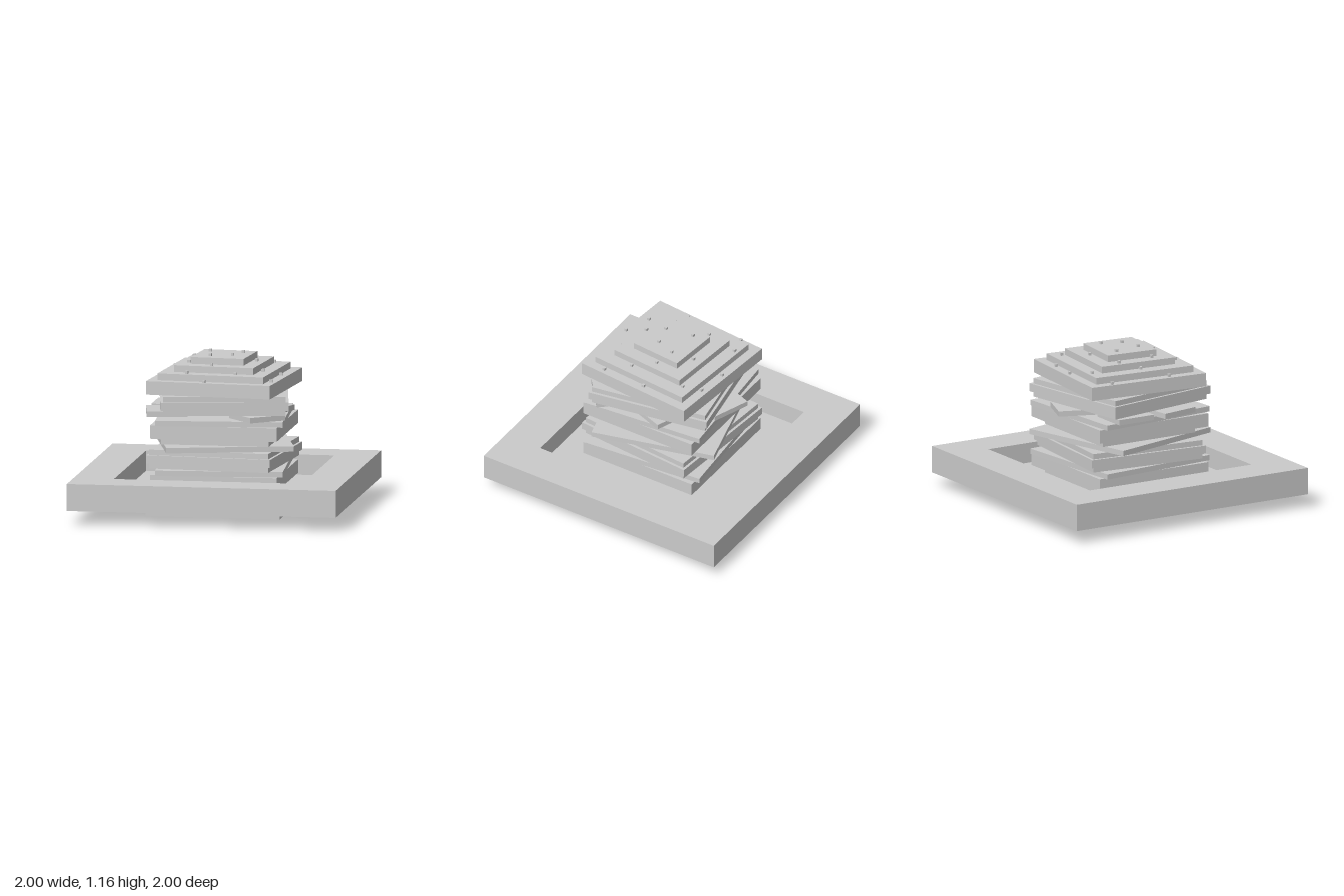
import * as THREE from 'three';

const mat = new THREE.MeshStandardMaterial({ color: 0xcccccc, flatShading: true });
const rad = THREE.MathUtils.degToRad;

// square slab of a given half width between two heights, turned about y
function slab(name, half, y0, y1, deg = 0, x = 0, z = 0) {
  const m = new THREE.Mesh(new THREE.BoxGeometry(half * 2, y1 - y0, half * 2), mat);
  m.name = name;
  m.position.set(x, (y0 + y1) / 2, z);
  m.rotation.y = rad(deg);
  return m;
}

function square(path, h) {
  path.moveTo(-h, -h);
  path.lineTo(h, -h);
  path.lineTo(h, h);
  path.lineTo(-h, h);
  path.closePath();
  return path;
}

// square ring between two heights
function ring(name, outer, inner, y0, y1) {
  const shape = square(new THREE.Shape(), outer);
  shape.holes.push(square(new THREE.Path(), inner));
  const geo = new THREE.ExtrudeGeometry(shape, { depth: y1 - y0, bevelEnabled: false });
  geo.rotateX(-Math.PI / 2);
  const m = new THREE.Mesh(geo, mat);
  m.name = name;
  m.position.y = y0;
  return m;
}

function group(name, ...parts) {
  const g = new THREE.Group();
  g.name = name;
  g.add(...parts);
  return g;
}

// bun half: narrow base under a wider slab
const bun = (name, y) => group(name,
  slab('bunBase', 0.4, y, y + 0.05),
  slab('bunBody', 0.47, y + 0.05, y + 0.15));

// patty: wider middle between two narrower faces
const patty = (name, y, deg) => group(name,
  slab('pattyBottom', 0.45, y, y + 0.04, deg),
  slab('pattyMiddle', 0.47, y + 0.04, y + 0.1, deg),
  slab('pattyTop', 0.45, y + 0.1, y + 0.14, deg));

export function createModel() {
  const model = new THREE.Group();
  model.name = 'burgerOnPlate';

  // plate with a square well, on a hollow foot
  model.add(group('plate',
    ring('foot', 0.5, 0.4, 0, 0.1),
    slab('footInside', 0.4, 0.05, 0.1),
    slab('plateBase', 1, 0.1, 0.15),
    ring('plateRim', 1, 0.7, 0.15, 0.3)));

  // lower and middle fillings
  model.add(
    bun('bottomBun', 0.15),
    slab('lowerCheese', 0.47, 0.3, 0.34, 5),
    patty('lowerPatty', 0.34, -5),
    slab('middleCheese', 0.47, 0.48, 0.52, 15),
    bun('middleBun', 0.52),
    slab('upperCheese', 0.47, 0.67, 0.71, 5),
    patty('upperPatty', 0.75, 10));

  // pickle slices: x, z, turn
  const pickles = [[-0.4, 0.155, 10], [-0.4, -0.2, 0], [-0.01, -0.4, -20], [0.3, -0.1, -20], [0.3, 0.31, 40]];
  model.add(group('pickles', ...pickles.map(([x, z, d]) => slab('pickle', 0.15, 0.71, 0.75, d, x, z))));

  // stepped crown with seeds on each step
  const steps = [
    [0.47, 0.89, 0.99, [[0, -0.435], [0.235, -0.405], [-0.42, -0.33], [0.42, -0.02], [0.405, 0.33], [-0.075, 0.445], [-0.45, 0.145]]],
    [0.4, 0.99, 1.04, [[-0.24, -0.39], [0.325, -0.3], [0.315, 0.15], [0.14, 0.34], [-0.22, 0.34], [-0.32, -0.02]]],
    [0.3, 1.04, 1.09, [[-0.25, -0.165], [0.06, -0.225], [0.24, -0.02], [-0.05, 0.255], [-0.24, 0.125]]],
    [0.2, 1.09, 1.14, [[-0.12, -0.105], [0.13, -0.08], [0.075, 0.065], [-0.085, 0.105]]],
  ];
  const crown = group('topBun');
  for (const [half, y0, y1, seeds] of steps) {
    crown.add(slab('crownStep', half, y0, y1, -5));
    for (const [x, z] of seeds) crown.add(slab('seed', 0.01, y1 - 0.01, y1 + 0.02, -5, x, z));
  }
  model.add(crown);
  return model;
}
